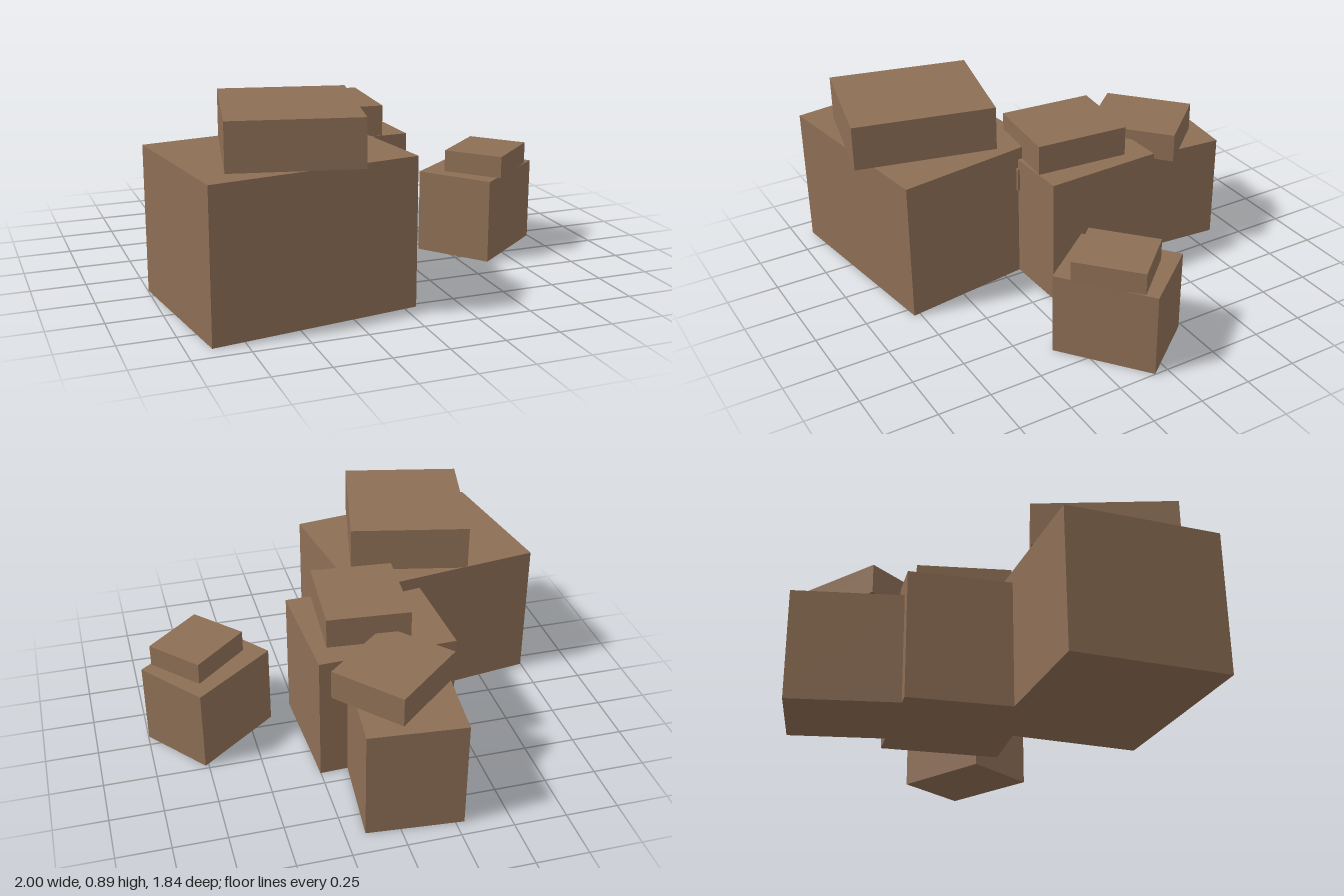
import * as THREE from 'three';

export function createModel() {
  const model = new THREE.Group();
  model.name = 'blockRocks';
  const stone = new THREE.MeshStandardMaterial({ color: 0x8d6e55 });
  stone.name = 'brownStone';

  // upright block turned about y: [centre x, z], [width, depth], bottom, top, yaw
  function block(name, [x, z], [w, d], bottom, top, yaw) {
    const mesh = new THREE.Mesh(new THREE.BoxGeometry(w, top - bottom, d), stone);
    mesh.name = name;
    mesh.position.set(x, (bottom + top) / 2, z);
    mesh.rotation.y = yaw;
    model.add(mesh);
  }

  // large front stack
  block('largeBase', [-0.47, 0.48], [0.96, 0.743], 0, 0.68, 0.141);
  block('largeCap', [-0.433, 0.513], [0.577, 0.674], 0.68, 0.895, -0.222);

  // middle stack
  block('middleBase', [-0.065, -0.125], [0.656, 0.576], 0, 0.62, 0.04);
  block('middleCap', [-0.029, -0.09], [0.394, 0.454], 0.62, 0.765, -0.079);

  // rear stack
  block('rearBase', [-0.09, -0.626], [0.452, 0.55], 0, 0.53, -0.089);
  block('rearCap', [-0.057, -0.555], [0.434, 0.374], 0.53, 0.67, 0.725);

  // small separate stack
  block('smallBase', [0.692, 0.066], [0.483, 0.376], 0, 0.4, 0.665);
  block('smallCap', [0.725, 0.1], [0.336, 0.292], 0.4, 0.505, 0.735);

  // stack buried between the large and middle ones, one corner peeking out
  block('buriedBase', [-0.17, 0.02], [0.3, 0.26], 0, 0.46, 0.1);
  block('buriedCap', [-0.169, 0.036], [0.28, 0.3], 0.46, 0.575, 0.1);

  return model;
}
